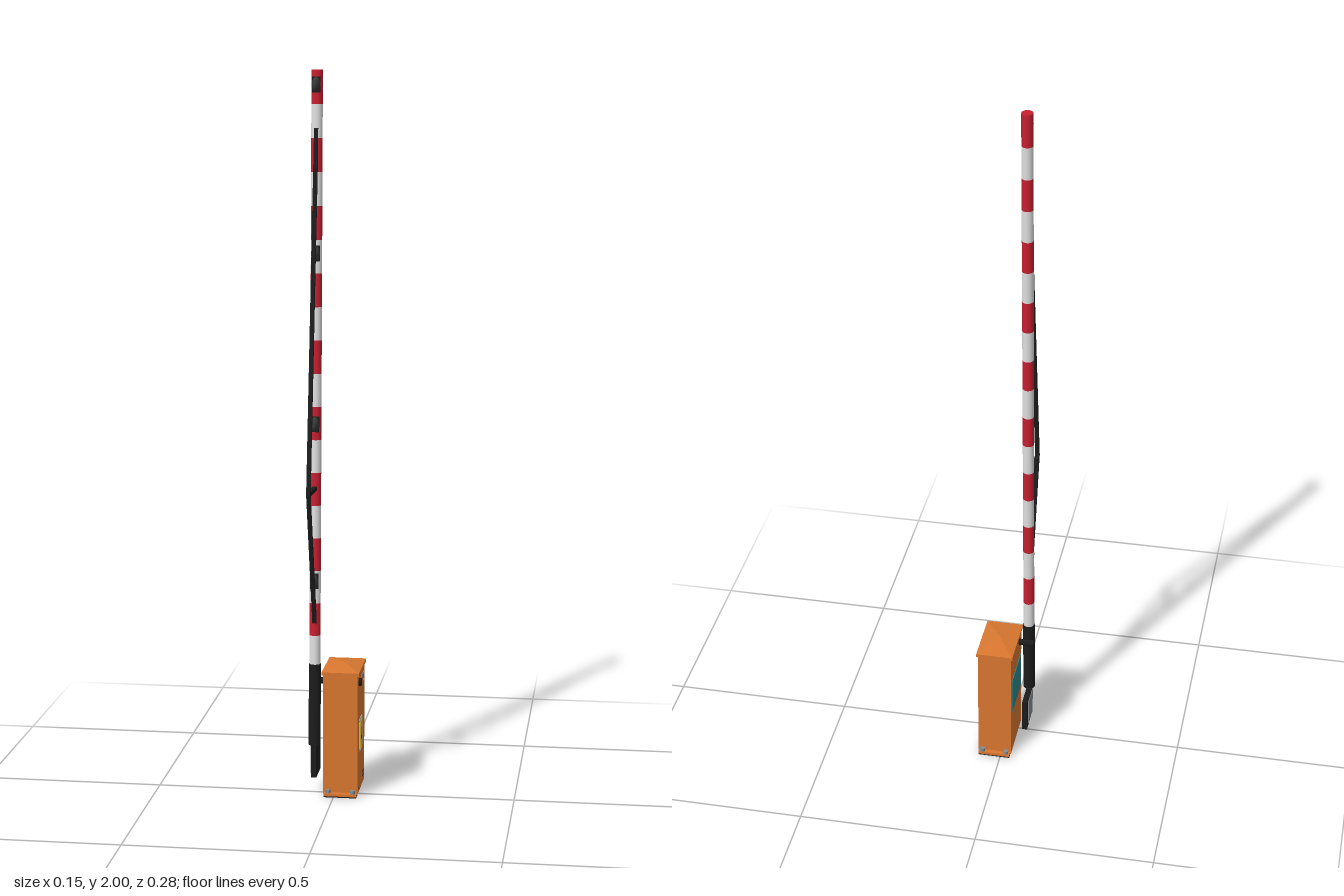
import * as THREE from 'three';

const mat = (name, color) => {
  const m = new THREE.MeshStandardMaterial({ color });
  m.name = name;
  return m;
};

export function createModel() {
  const orange = mat('orange paint', 0xd97730);
  const red = mat('red stripe', 0xc81f30);
  const white = mat('white stripe', 0xe0e0e0);
  const black = mat('black metal', 0x1d1c1c);
  const dark = mat('dark lamp', 0x38383a);
  const grey = mat('grey steel', 0x858a8e);
  const teal = mat('teal panel', 0x2f8589);
  const yellow = mat('yellow sign', 0xe3bd22);
  const pale = mat('pale label', 0xcfd5da);

  const root = new THREE.Group();
  root.name = 'barrierGate';
  const add = (parent, name, geo, material, x = 0, y = 0, z = 0) => {
    const m = new THREE.Mesh(geo, material);
    m.name = name;
    m.position.set(x, y, z);
    parent.add(m);
    return m;
  };
  // box given by its min and max corners
  const box = (parent, name, material, [x0, y0, z0], [x1, y1, z1]) =>
    add(parent, name, new THREE.BoxGeometry(x1 - x0, y1 - y0, z1 - z0), material,
      (x0 + x1) / 2, (y0 + y1) / 2, (z0 + z1) / 2);
  // cylinder lying along x
  const disc = (parent, name, material, r, x0, x1, y, z) => {
    const g = new THREE.CylinderGeometry(r, r, x1 - x0, 20);
    g.rotateZ(Math.PI / 2);
    return add(parent, name, g, material, (x0 + x1) / 2, y, z);
  };

  // ---- cabinet ----
  const cabinet = new THREE.Group();
  cabinet.name = 'cabinet';
  root.add(cabinet);
  const cx = 0.018, cz = -0.048;
  box(cabinet, 'cabinetBody', orange, [-0.03, 0.006, -0.126], [0.066, 0.35, 0.03]);
  box(cabinet, 'roofLip', orange, [-0.034, 0.346, -0.129], [0.07, 0.355, 0.033]);
  const roof = new THREE.ConeGeometry(Math.SQRT1_2, 0.012, 4, 1, true).toNonIndexed();
  roof.rotateY(Math.PI / 4);
  roof.scale(0.104, 1, 0.162);
  roof.computeVertexNormals();
  add(cabinet, 'roof', roof, orange, cx, 0.361, cz);

  // base flange, underside and anchor bolts
  box(cabinet, 'baseFlange', orange, [-0.027, 0.003, -0.14], [0.064, 0.01, 0.045]);
  box(cabinet, 'underside', black, [-0.027, 0, -0.14], [0.064, 0.003, 0.045]);
  for (const x of [-0.016, 0.053]) {
    for (const z of [-0.133, 0.037]) {
      add(cabinet, 'anchorBolt', new THREE.CylinderGeometry(0.007, 0.007, 0.01, 12), grey, x, 0.015, z);
    }
  }

  // warning label on the outer side
  const label = new THREE.Shape();
  const w = 0.035, h = 0.048, c = 0.012;
  label.moveTo(-w + c, -h).lineTo(w - c, -h).lineTo(w, -h + c).lineTo(w, h - c)
    .lineTo(w - c, h).lineTo(-w + c, h).lineTo(-w, h - c).lineTo(-w, -h + c);
  const labelGeo = new THREE.ExtrudeGeometry(label, { depth: 0.001, bevelEnabled: false });
  labelGeo.rotateY(Math.PI / 2);
  add(cabinet, 'labelPlate', labelGeo, pale, 0.066, 0.163, -0.041);
  box(cabinet, 'labelSign', yellow, [0.067, 0.125, -0.062], [0.068, 0.2, -0.02]);
  box(cabinet, 'labelMark', dark, [0.068, 0.147, -0.056], [0.0687, 0.158, -0.03]);
  box(cabinet, 'labelMark', dark, [0.068, 0.158, -0.056], [0.0687, 0.18, -0.048]);

  // shaft cap, bolts and vent holes on the outer side
  disc(cabinet, 'shaftCap', black, 0.011, 0.064, 0.073, 0.322, -0.003);
  for (const [y, z] of [[0.322, -0.06], [0.322, -0.075], [0.322, -0.1], [0.3, -0.1]]) {
    disc(cabinet, 'sideBolt', grey, 0.006, 0.064, 0.068, y, z);
  }
  for (const [y, z] of [[0.02, 0.012], [0.037, -0.088], [0.037, -0.102], [0.025, -0.088], [0.025, -0.102]]) {
    disc(cabinet, 'ventHole', black, 0.004, 0.064, 0.067, y, z);
  }

  // panel on the boom side
  box(cabinet, 'sidePanel', teal, [-0.032, 0.15, -0.117], [-0.03, 0.262, 0.015]);

  // ---- pivot and counterweight ----
  disc(root, 'pivotShaft', black, 0.009, -0.073, -0.03, 0.322, -0.005);
  box(root, 'counterweight', black, [-0.065, 0.05, -0.063], [-0.05, 0.147, 0.027]);
  box(root, 'counterweightPlate', grey, [-0.067, 0.06, -0.045], [-0.065, 0.138, 0.018]);

  // ---- boom, tilted slightly backwards ----
  const boom = new THREE.Group();
  boom.name = 'boom';
  boom.position.set(-0.055, 0.32, 0.017);
  boom.rotation.x = -0.0375;
  root.add(boom);
  const r = 0.0155, top = 1.68, seg = 0.0908;
  for (let i = 0; i < 18; i++) {
    add(boom, i % 2 ? 'whiteBand' : 'redBand', new THREE.CylinderGeometry(r, r, seg, 24, 1, i > 0),
      i % 2 ? white : red, 0, top - seg * (i + 0.5), 0);
  }
  add(boom, 'boomSleeve', new THREE.CylinderGeometry(0.0168, 0.0168, 0.23, 24), black, 0, -0.06, 0);

  // marker lamps along the front of the boom
  for (const y of [0.61, 1.045, 1.51, 1.96]) {
    const dome = new THREE.SphereGeometry(1, 16, 8, 0, Math.PI * 2, 0, Math.PI / 2);
    dome.rotateX(Math.PI / 2);
    dome.scale(0.012, 0.021, 0.018);
    const lamp = add(boom, 'lampDome', dome, dark, 0, y - 0.32, 0.02);
    box(lamp, 'lampBase', black, [-0.011, -0.021, -0.01], [0.011, 0.021, 0.001]);
  }

  // ---- truss in front of the boom ----
  const bar = (name, y0, z0, y1, z1) => {
    const b = add(root, name, new THREE.BoxGeometry(0.011, Math.hypot(y1 - y0, z1 - z0) + 0.008, 0.011),
      black, -0.055, (y0 + y1) / 2, (z0 + z1) / 2);
    b.rotation.x = Math.atan2(z1 - z0, y1 - y0);
  };
  bar('lowerStay', 0.485, 0.018, 0.875, 0.133);
  bar('upperStay', 0.875, 0.133, 1.84, -0.028);
  bar('trussSpreader', 0.868, 0.005, 0.875, 0.131);

  return root;
}
